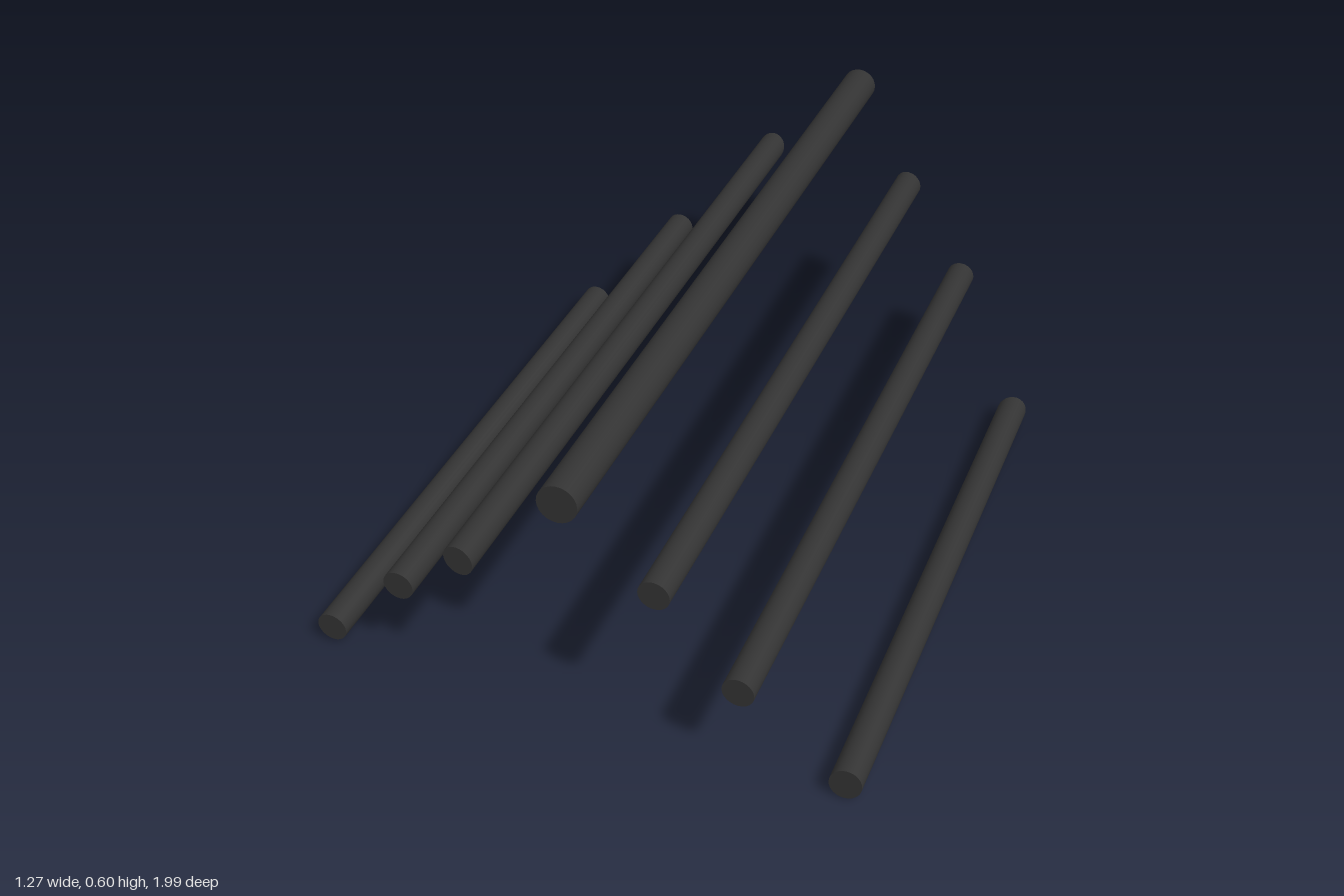
import * as THREE from 'three';

// A pole along z whose ends are cut at a slant: each cut is [z, slope in x, slope in y].
function makePole(radius, back, front, material) {
  const geometry = new THREE.CylinderGeometry(radius, radius, 1, 24);
  geometry.rotateX(Math.PI / 2);
  const p = geometry.attributes.position;
  for (let i = 0; i < p.count; i++) {
    const [z, sx, sy] = p.getZ(i) > 0 ? front : back;
    p.setZ(i, z + sx * p.getX(i) + sy * p.getY(i));
  }
  return new THREE.Mesh(geometry, material);
}

export function createModel() {
  const model = new THREE.Group();
  model.name = 'roofPoles';
  const material = new THREE.MeshStandardMaterial({ color: 0x333333 });

  // name, x, y, radius, back cut, front cut
  const poles = [
    ['rightLowerPole', -0.6, 0.045, 0.035, [-0.48, 0, 0], [0.935, 0, 0]],
    ['rightMiddlePole', -0.415, 0.225, 0.035, [-0.643, 0, 0], [0.935, 0, 0]],
    ['rightUpperPole', -0.228, 0.398, 0.035, [-0.858, 0, -0.38], [0.99, 0.12, 0]],
    ['ridgePole', -0.027, 0.557, 0.044, [-1, 0, 0], [0.93, -0.05, -0.05]],
    ['leftUpperPole', 0.182, 0.398, 0.035, [-0.794, 0.14, 0], [0.946, 0, 0]],
    ['leftMiddlePole', 0.37, 0.223, 0.035, [-0.678, 0, 0], [0.972, 0, 0]],
    ['leftLowerPole', 0.597, 0.036, 0.035, [-0.39, -0.2, -0.3], [0.96, -0.06, -0.1]],
  ];
  for (const [name, x, y, radius, back, front] of poles) {
    const pole = makePole(radius, back, front, material);
    pole.name = name;
    pole.position.set(x, y, 0);
    model.add(pole);
  }
  return model;
}
